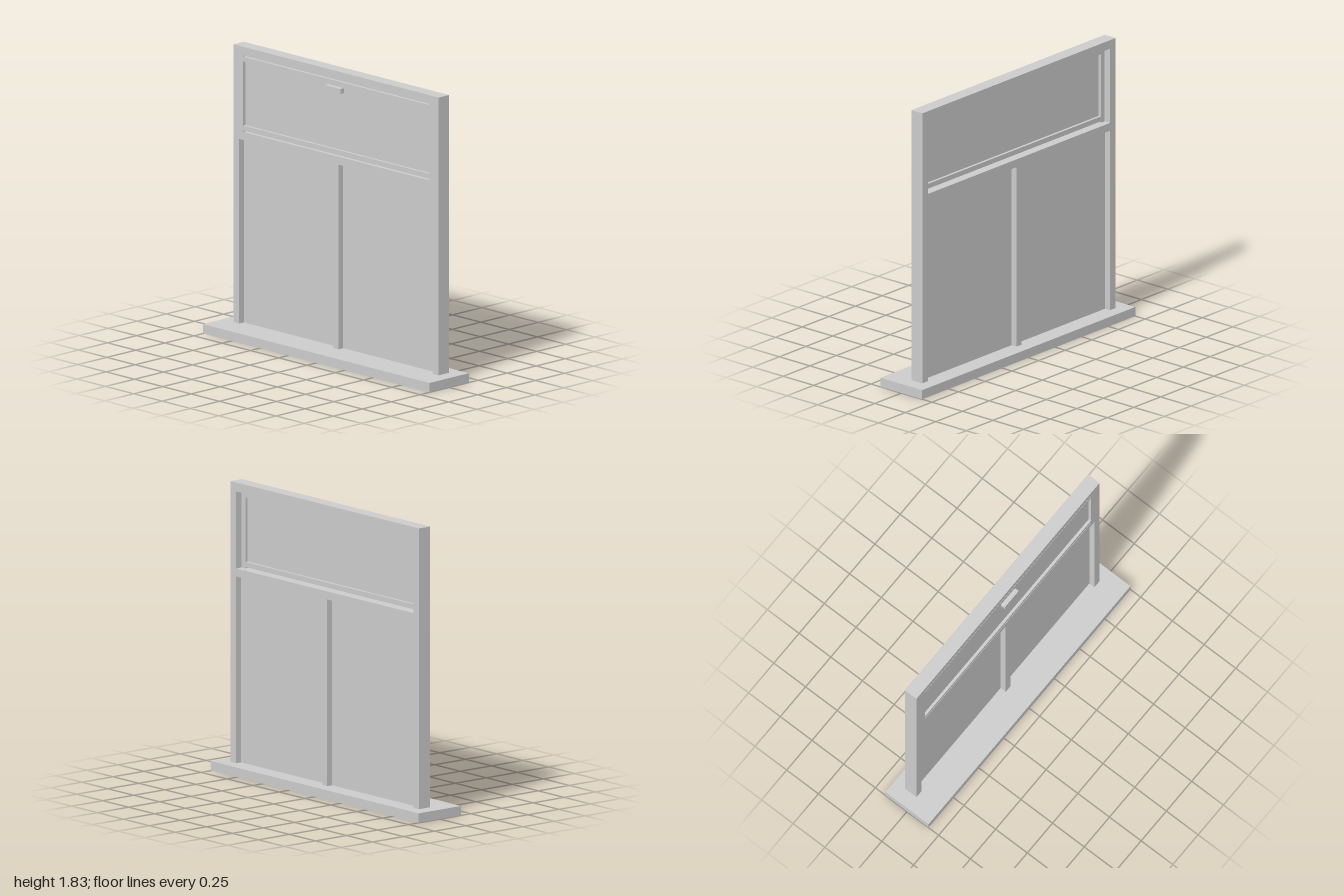
import * as THREE from 'three';

const material = new THREE.MeshStandardMaterial({ color: 0xcccccc });

// Box given by its lower and upper limits on each axis
function slab(parent, name, [x0, x1], [y0, y1], [z0, z1]) {
  const mesh = new THREE.Mesh(new THREE.BoxGeometry(x1 - x0, y1 - y0, z1 - z0), material);
  mesh.name = name;
  mesh.position.set((x0 + x1) / 2, (y0 + y1) / 2, (z0 + z1) / 2);
  parent.add(mesh);
}

// Pair of boxes mirrored in x
function pair(parent, name, [x0, x1], y, z) {
  slab(parent, 'left' + name, [x0, x1], y, z);
  slab(parent, 'right' + name, [-x1, -x0], y, z);
}

export function createModel() {
  const model = new THREE.Group();
  model.name = 'window';

  const outer = 0.907, inner = 0.855, sashInner = 0.82, mullion = 0.023;
  const sillTop = 0.06, transomBottom = 1.238, transomTop = 1.289;
  const headBottom = 1.776, top = 1.832;
  const depth = [-0.09, 0], sashDepth = [-0.045, 0];

  // Sill
  slab(model, 'sill', [-1, 1], [0, sillTop], [-0.17, 0.17]);

  // Fixed frame
  const frame = new THREE.Group();
  frame.name = 'frame';
  model.add(frame);
  pair(frame, 'Jamb', [inner, outer], [sillTop, top], depth);
  slab(frame, 'head', [-inner, inner], [headBottom, top], depth);
  slab(frame, 'transom', [-inner, inner], [transomBottom, transomTop], depth);
  slab(frame, 'mullion', [-mullion, mullion], [sillTop, transomBottom], depth);

  // Lower fixed panes
  pair(model, 'LowerPane', [mullion, inner], [sillTop, transomBottom], [-0.05, -0.04]);

  // Upper sash, with narrow open gaps above and below its rails
  const sash = new THREE.Group();
  sash.name = 'upperSash';
  model.add(sash);
  pair(sash, 'Stile', [sashInner, inner], [transomTop, headBottom], sashDepth);
  slab(sash, 'topRail', [-sashInner, sashInner], [1.738, 1.769], sashDepth);
  slab(sash, 'bottomRail', [-sashInner, sashInner], [1.298, 1.33], sashDepth);
  slab(sash, 'upperPane', [-sashInner, sashInner], [1.33, 1.738], [-0.027, -0.018]);

  // Handle
  slab(sash, 'handle', [-0.069, 0.069], [1.703, 1.735], [0, 0.03]);
  return model;
}
